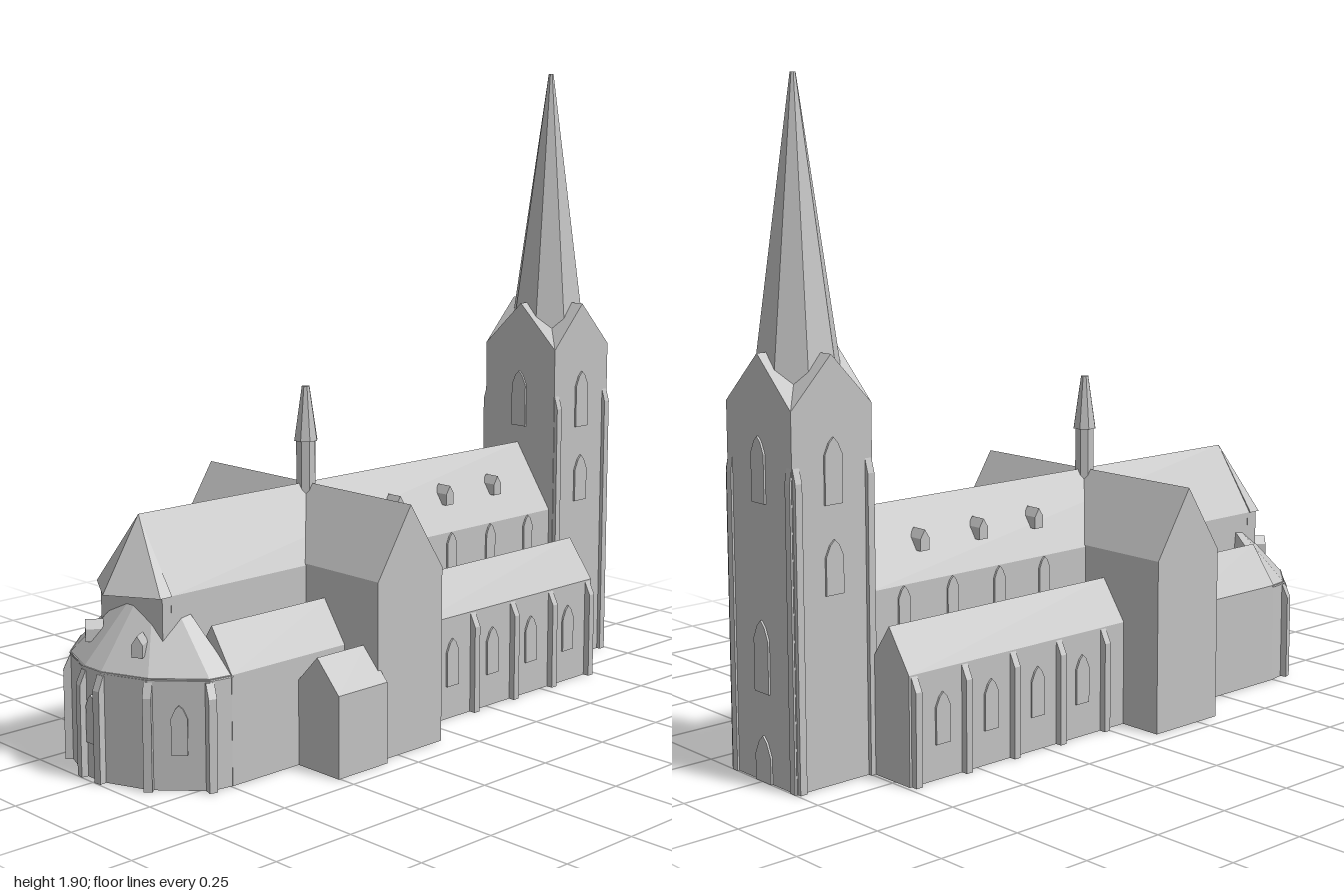
import * as THREE from 'three';
import { ConvexGeometry } from 'three/addons/geometries/ConvexGeometry.js';

const stone = new THREE.MeshStandardMaterial({ color: 0xc2c2c2 });
stone.name = 'grey stone';

const polygon = (pts) => new THREE.Shape(pts.map(([x, y]) => new THREE.Vector2(x, y)));
const extrude = (pts, depth) => new THREE.ExtrudeGeometry(polygon(pts), { depth, bevelEnabled: false });

export function createModel() {
  const root = new THREE.Group();
  root.name = 'church';

  function add(name, geometry, x = 0, y = 0, z = 0, turn = 0) {
    const mesh = new THREE.Mesh(geometry, stone);
    mesh.name = name;
    mesh.position.set(x, y, z);
    mesh.rotation.y = turn;
    root.add(mesh);
    return mesh;
  }

  // Gabled body with its ridge along z
  function house(name, x0, x1, base, eave, ridge, z0, z1) {
    const mid = (x0 + x1) / 2;
    return add(name, extrude([[x0, base], [x1, base], [x1, eave], [mid, ridge], [x0, eave]], z1 - z0), 0, 0, z0);
  }
  // Gabled body with its ridge along x
  function crossHouse(name, z0, z1, base, eave, ridge, x0, x1) {
    const h = (z1 - z0) / 2;
    return add(name, extrude([[-h, base], [h, base], [h, eave], [0, ridge], [-h, eave]], x1 - x0),
      x0, 0, (z0 + z1) / 2, Math.PI / 2);
  }
  // Thin pointed window plate; turn 0 faces +z
  function pointedWindow(name, x, y, z, turn, w, h) {
    const a = w / 2;
    add(name, extrude([[-a, 0], [a, 0], [a, h - w * 0.8], [a * 0.5, h - w * 0.25], [0, h],
      [-a * 0.5, h - w * 0.25], [-a, h - w * 0.8]], 0.006), x, y, z, turn);
  }
  // Pier with a sloping head, projecting along its turned +z
  function buttress(name, x, z, turn, w, depth, top) {
    const g = extrude([[-0.02, 0], [depth, 0], [depth, top - 0.04], [0, top], [-0.02, top]], w);
    g.rotateY(-Math.PI / 2);
    g.translate(w / 2, 0, 0);
    add(name, g, x, 0, z, turn);
  }
  // Little gabled roof window, facing its turned +z
  function dormer(x, y, z, turn) {
    add('dormer', extrude([[-0.016, 0], [0.016, 0], [0.016, 0.035], [0, 0.06], [-0.016, 0.035]], 0.05)
      .translate(0, 0, -0.03), x, y, z, turn);
  }

  const cx = -0.013;

  // Nave and choir
  house('nave', -0.15, 0.125, 0, 0.51, 0.715, -0.74, 0.82);
  add('choirEndWall', new THREE.BoxGeometry(0.275, 0.51, 0.04), cx, 0.255, 0.83);
  add('choirHipRoof', new ConvexGeometry([
    [-0.155, 0.51, 0.82], [0.13, 0.51, 0.82], [-0.155, 0.51, 0.86], [0.13, 0.51, 0.86],
    [cx, 0.51, 0.945], [cx, 0.715, 0.82]].map((p) => new THREE.Vector3(...p))));

  // Transept
  crossHouse('transept', 0.075, 0.33, 0, 0.515, 0.715, -0.45, 0.42);

  // Gabled side aisles, with bays of windows and buttresses
  for (const s of [-1, 1]) {
    const turn = s * Math.PI / 2;
    const span = (a, b) => (s < 0 ? [a, -0.145] : [0.12, b]);
    house('naveAisle', ...span(-0.312, 0.298), 0, 0.31, 0.43, -0.74, 0.08);
    house('choirAisle', ...span(-0.32, 0.285), 0, 0.31, 0.43, 0.32, 0.745);
    const wall = s < 0 ? -0.312 : 0.298;
    for (let i = 0; i < 5; i++) buttress('aisleButtress', wall, -0.01 - i * 0.178, turn, 0.022, 0.02, 0.305);
    for (let i = 0; i < 4; i++) {
      const z = -0.097 - i * 0.176;
      pointedWindow('aisleWindow', wall, 0.1, z, turn, 0.05, 0.145);
      pointedWindow('clerestoryWindow', s < 0 ? -0.15 : 0.125, 0.37, z, turn, 0.04, 0.138);
    }
    for (const z of [-0.085, -0.302, -0.52]) dormer(cx + s * 0.085, 0.585, z, turn);
    dormer(cx + s * 0.105, 0.355, 0.905, s * 0.6);
  }

  // Apse walk: polygonal wall with a fanned roof
  const plan = [[-0.32, 0.74], [-0.308, 0.81], [-0.2, 0.925], [-0.06, 0.98],
    [0.015, 0.98], [0.152, 0.925], [0.273, 0.81], [0.285, 0.74]];
  const wallGeo = extrude(plan.map(([x, z]) => [x, -z]), 0.31);
  wallGeo.rotateX(-Math.PI / 2);
  add('apseWall', wallGeo);
  add('apseRoof', new ConvexGeometry([
    ...plan.map(([x, z]) => new THREE.Vector3(x * 1.01, 0.305, z)),
    new THREE.Vector3(cx, 0.57, 0.765)]));
  for (let i = 1; i < 7; i++) {
    const [x, z] = plan[i];
    buttress('apseButtress', x, z, Math.atan2(x + 0.02, z - 0.72), 0.024, 0.018, 0.3);
  }
  for (const i of [1, 3, 5]) {
    const [[ax, az], [bx, bz]] = [plan[i], plan[i + 1]];
    pointedWindow('apseWindow', (ax + bx) / 2, 0.1, (az + bz) / 2, Math.atan2(az - bz, bx - ax), 0.045, 0.138);
  }

  // Sacristy beside the choir
  house('sacristy', 0.275, 0.447, 0, 0.235, 0.325, 0.32, 0.505);

  // Crossing turret
  const turretShaft = new THREE.CylinderGeometry(0.03, 0.03, 0.2, 8).toNonIndexed();
  const turretCap = new THREE.CylinderGeometry(0.012, 0.036, 0.16, 8).toNonIndexed();
  for (const g of [turretShaft, turretCap]) {
    g.rotateY(Math.PI / 8);
    g.computeVertexNormals();
  }
  add('turretShaft', turretShaft, cx, 0.745, 0.203);
  add('turretSpire', turretCap, cx, 0.92, 0.203);

  // Tower with four gables
  const tx = -0.006, tz = -0.863, hw = 0.147, hd = 0.132;
  add('towerShaft', new THREE.BoxGeometry(hw * 2, 1.03, hd * 2), tx, 0.515, tz);
  house('towerGable', tx - hw, tx + hw, 1.02, 1.03, 1.17, tz - hd, tz + hd);
  crossHouse('towerCrossGable', tz - hd, tz + hd, 1.02, 1.03, 1.17, tx - hw, tx + hw);

  // Octagonal spire
  const spire = new THREE.CylinderGeometry(0.008, 0.129, 0.86, 8).toNonIndexed();
  spire.rotateY(Math.PI / 8);
  spire.computeVertexNormals();
  add('spire', spire, tx, 1.47, tz);

  // Tower corner piers
  for (const sx of [-1, 1]) {
    for (const sz of [-1, 1]) {
      buttress('towerSidePier', tx + sx * hw, tz + sz * (hd - 0.013), sx * Math.PI / 2, 0.022, 0.012, 0.88);
    }
    buttress('towerBackPier', tx + sx * (hw - 0.013), tz - hd, Math.PI, 0.022, 0.006, 0.88);
  }

  // Tower windows and portal
  for (const s of [-1, 1]) {
    for (const [y, h] of [[0.77, 0.18], [0.525, 0.15]]) {
      pointedWindow('towerSideWindow', tx + s * hw, y, tz, s * Math.PI / 2, 0.058, h);
    }
  }
  pointedWindow('towerFrontWindow', tx, 0.77, tz + hd, 0, 0.058, 0.18);
  pointedWindow('towerBackWindow', tx, 0.77, tz - hd, Math.PI, 0.058, 0.18);
  pointedWindow('towerBackLowWindow', tx, 0.25, tz - hd, Math.PI, 0.065, 0.2);
  pointedWindow('portal', tx, 0, tz - hd, Math.PI, 0.07, 0.13);

  return root;
}
